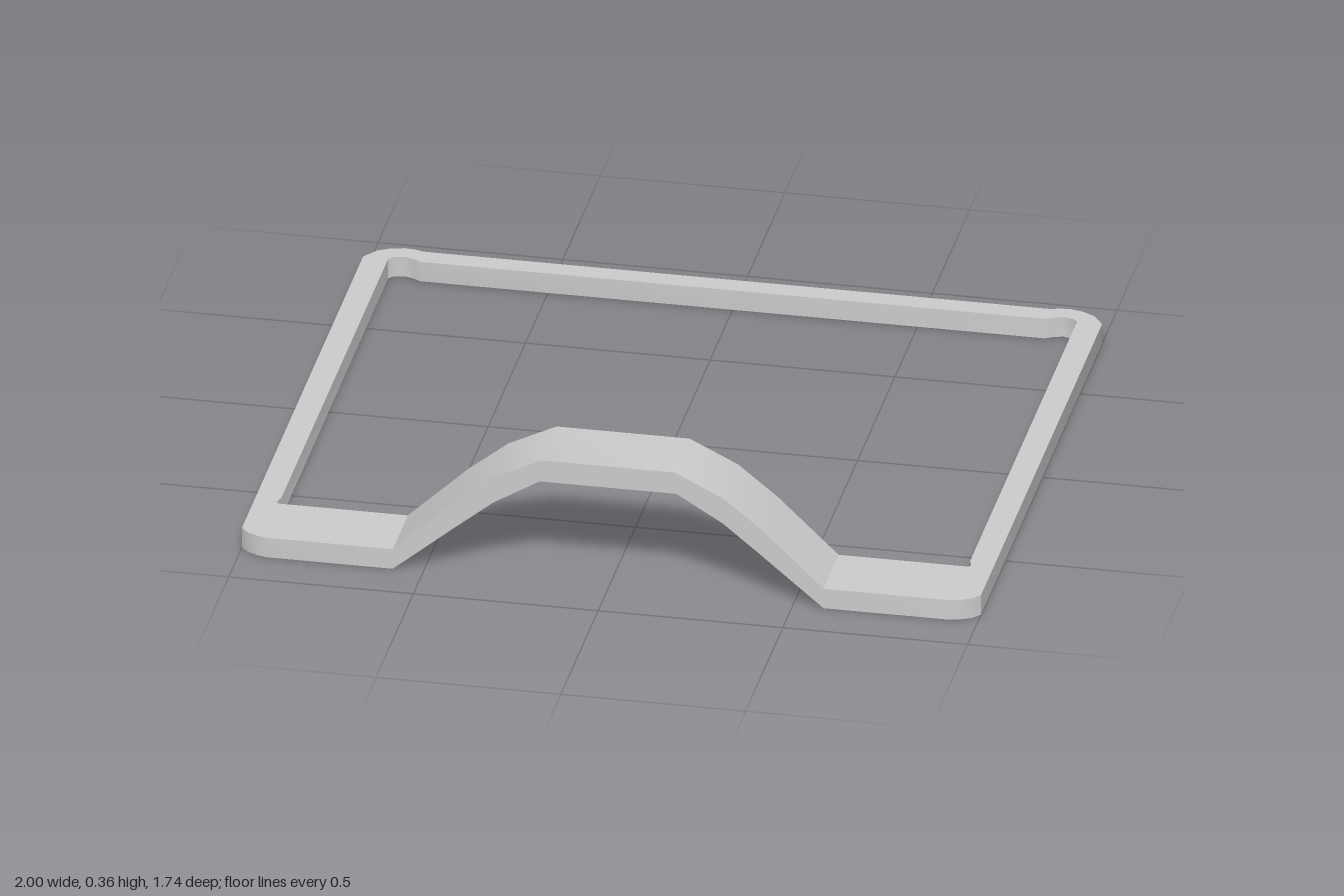
import * as THREE from 'three';
import { toCreasedNormals } from 'three/addons/utils/BufferGeometryUtils.js';

const THICK = 0.058;   // height of the flat frame
const TAB = 0.583;     // x where the arch meets the flat front tabs

// closed shape from the points of one half (+x side), mirrored across x = 0
function mirroredShape(half) {
  const other = half.map(([x, y]) => [-x, y]).reverse();
  return new THREE.Shape([...half, ...other].map(([x, y]) => new THREE.Vector2(x, y)));
}

function extrude(shape, depth) {
  return new THREE.ExtrudeGeometry(shape, { depth, bevelEnabled: false });
}

export function createModel() {
  const group = new THREE.Group();
  const material = new THREE.MeshStandardMaterial({ color: 0xcccccc });
  const add = (name, geometry) => {
    const mesh = new THREE.Mesh(toCreasedNormals(geometry, 0.65), material);
    mesh.name = name;
    group.add(mesh);
  };

  // Flat frame in plan (x, z): back bar, bulged corners, side rails, front tabs
  const outline = [
    [0.85, -0.86], [0.87, -0.867], [0.9, -0.87], [0.935, -0.862], [0.97, -0.843], [1, -0.8],
    [1, 0.822], [0.98, 0.845], [0.95, 0.86], [0.925, 0.867], [TAB, 0.867],
    [TAB, 0.664], [0.935, 0.664], [0.94, 0.655], [0.932, 0.63],
    [0.932, -0.8], [0.92, -0.813], [0.89, -0.82], [0.865, -0.812], [0.845, -0.8],
  ];
  const frame = extrude(mirroredShape(outline), THICK);
  frame.rotateX(Math.PI / 2).translate(0, THICK, 0);
  add('frame', frame);

  // Raised front arch: side profile (x, y) swept along z
  const profile = [
    [0.185, 0.3], [0.31, 0.225], [0.417, 0.138], [TAB, 0],
    [TAB, THICK], [0.417, 0.215], [0.31, 0.3], [0.18, 0.363],
  ];
  const arch = extrude(mirroredShape(profile), 0.203);
  arch.translate(0, 0, 0.664);
  add('frontArch', arch);

  return group;
}
